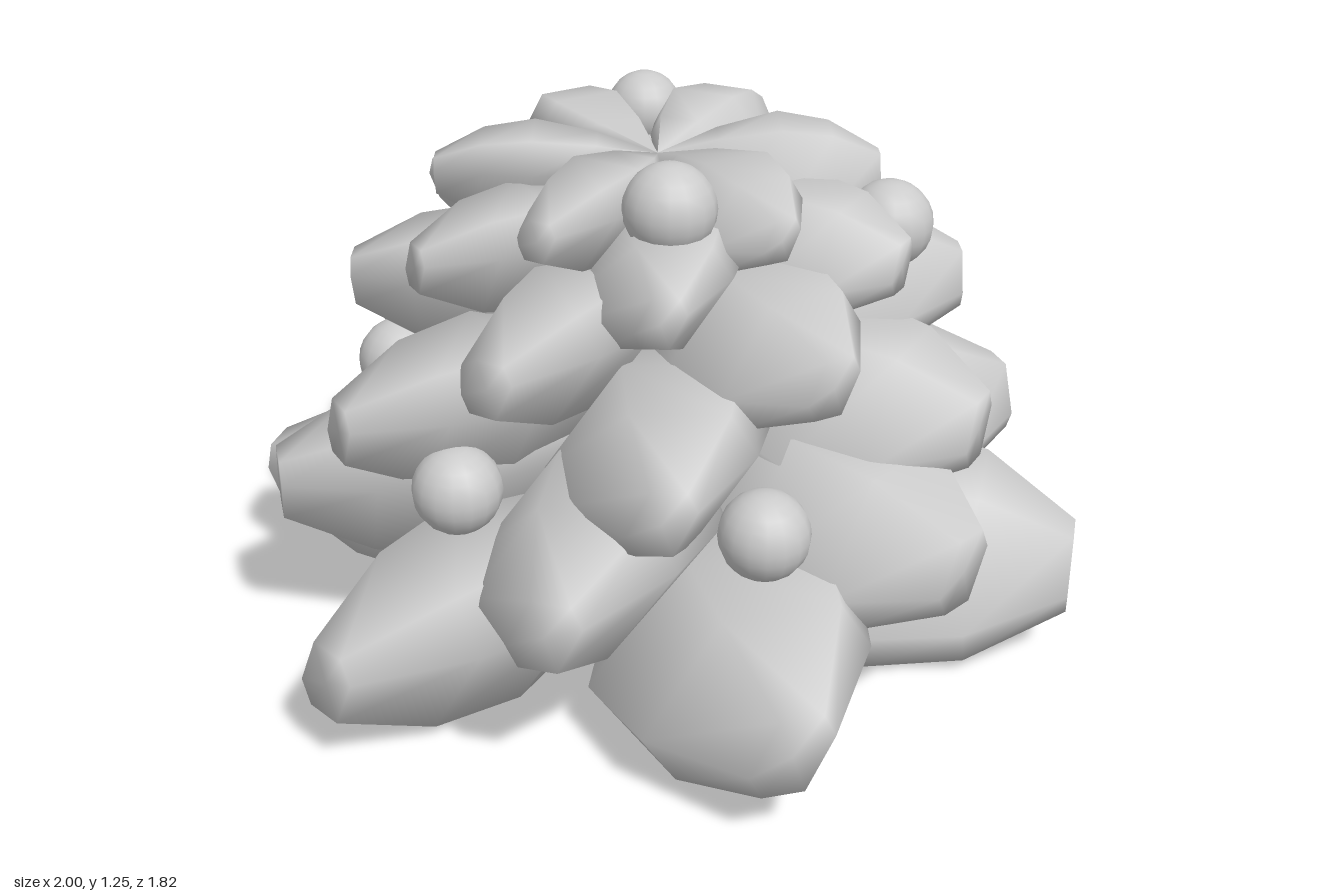
import * as THREE from 'three';

const material = new THREE.MeshStandardMaterial({ color: 0xcccccc });

// Slanted six-cornered leaf section [across, up], counter-clockwise from the tip end
const upperCorners = [[1, 0.38], [0.71, 0.98], [-0.32, 1]];
const corners = [...upperCorners, ...upperCorners.map(([w, h]) => [-w, -h])];

// Rings along the leaf: [distance from stem, half width, half height]
const rings = [[0, 0, 0.09], [0.27, 0.19, 0.17], [0.55, 0.31, 0.22], [0.78, 0.25, 0.19], [1, 0.09, 0.09]];

// Leaf of unit length along +x: an upright edge at the stem, a blunt tip
function leafGeometry() {
  const positions = [], index = [], n = corners.length;
  for (const [u, width, height] of rings) {
    for (const [w, h] of corners) positions.push(u, h * height, -w * width);
  }
  const tip = positions.length / 3;
  positions.push(1, 0, 0);
  for (let j = 0; j < n; j++) {
    const k = (j + 1) % n;
    for (let i = 0; i < rings.length - 1; i++) {
      const a = i * n + j, b = i * n + k;
      index.push(b, b + n, a + n);
      if (i > 0) index.push(a, b, a + n);
    }
    index.push(tip, tip - n + j, tip - n + k);
    // The upright stem edge has no width, but its quads still need both halves
    index.push(j, k, n + j);
  }
  const geometry = new THREE.BufferGeometry();
  geometry.setAttribute('position', new THREE.Float32BufferAttribute(positions, 3));
  geometry.setIndex(index);
  geometry.computeVertexNormals();
  return geometry;
}

export function createModel() {
  const bush = new THREE.Group();
  bush.name = 'bush';

  // Leaf whorls: [height, length, turn in degrees]
  const whorls = [
    [0.235, 1, 0], [0.455, 0.9, 30], [0.67, 0.8, 15],
    [0.87, 0.7, 45], [1.01, 0.6, 15], [1.12, 0.5, 45],
  ];
  const leaf = leafGeometry();
  whorls.forEach(([y, length, turn], k) => {
    const whorl = new THREE.Group();
    whorl.name = `leafWhorl${k + 1}`;
    whorl.position.y = y;
    for (let i = 0; i < 6; i++) {
      const mesh = new THREE.Mesh(leaf, material);
      mesh.name = 'leaf';
      mesh.scale.setScalar(length);
      mesh.rotation.y = -THREE.MathUtils.degToRad(turn + i * 60);
      whorl.add(mesh);
    }
    bush.add(whorl);
  });

  // Berries: [x, y, z, radius]
  const berries = [
    [-0.25, 1.17, 0.28, 0.1], [0.3, 1.03, 0.43, 0.1],
    [0.21, 1.17, -0.25, 0.09], [-0.26, 0.52, 0.57, 0.1],
    [0.62, 0.555, -0.06, 0.105], [0.26, 0.68, -0.6, 0.1],
    [-0.62, 0.55, 0, 0.1], [-0.42, 0.65, -0.44, 0.1],
  ];
  for (const [x, y, z, r] of berries) {
    const berry = new THREE.Mesh(new THREE.SphereGeometry(r, 16, 12), material);
    berry.name = 'berry';
    berry.position.set(x, y, z);
    bush.add(berry);
  }
  return bush;
}
